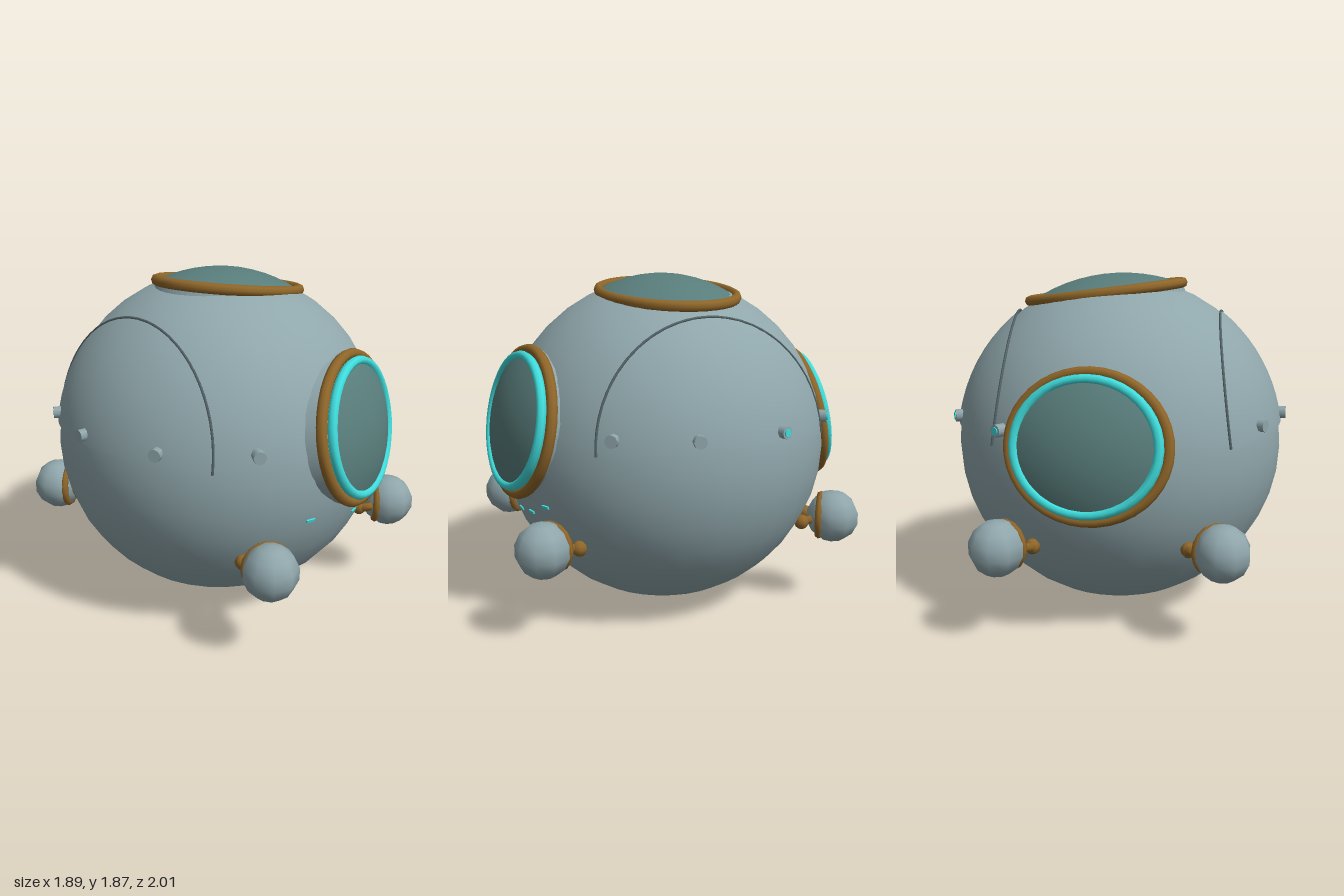
import * as THREE from 'three';

const paint = (name, color) => {
  const m = new THREE.MeshStandardMaterial({ color });
  m.name = name;
  return m;
};

export function createModel() {
  const hull = paint('hullGrey', 0x8fa6ab);
  const brass = paint('brass', 0x8f6629);
  const cyan = paint('cyanTrim', 0x3fdcdc);
  const glass = paint('tealGlass', 0x587d7b);
  const seam = paint('seamDark', 0x566669);
  hull.side = glass.side = THREE.DoubleSide;

  const model = new THREE.Group();
  model.name = 'divingSphere';
  const R = 0.925;
  const centre = new THREE.Vector3(0, R, 0);

  const add = (parent, name, geo, mat, x = 0, y = 0, z = 0) => {
    const mesh = new THREE.Mesh(geo, mat);
    mesh.name = name;
    mesh.position.set(x, y, z);
    parent.add(mesh);
    return mesh;
  };
  // Group whose local +z points along dir
  const facing = (name, pos, dir) => {
    const g = new THREE.Group();
    g.name = name;
    g.position.copy(pos);
    g.lookAt(pos.clone().add(dir));
    model.add(g);
    return g;
  };
  const vec = (x, y, z) => new THREE.Vector3(x, y, z);

  // Shallow dome rising to +z from a rim of radius r
  const dome = (r, h) => {
    const s = (r * r + h * h) / (2 * h);
    const g = new THREE.SphereGeometry(s, 28, 6, 0, Math.PI * 2, 0, Math.asin(r / s));
    return g.rotateX(Math.PI / 2).translate(0, 0, h - s);
  };

  add(model, 'hull', new THREE.SphereGeometry(R, 32, 20), hull, 0, R, 0);

  // Domed windows with brass frames
  const porthole = (name, pos, dir, r, sx, sy, height, trimmed) => {
    const g = facing(name, pos, dir);
    g.scale.set(sx, sy, 1);
    const frameR = trimmed ? r + 0.04 : r + 0.01;
    const frameZ = trimmed ? -0.04 : 0;
    add(g, 'glassDome', dome(r, height), glass);
    add(g, 'frame', new THREE.TorusGeometry(frameR, 0.03, 8, 40), brass, 0, 0, frameZ);
    if (trimmed) add(g, 'trimRing', new THREE.TorusGeometry(r, 0.026, 8, 40), cyan);
    const collar = new THREE.CylinderGeometry(frameR, frameR + 0.03, 0.12, 40, 1, true);
    add(g, 'collar', collar.rotateX(Math.PI / 2), hull, 0, 0, frameZ - 0.06);
  };
  porthole('frontWindow', vec(0.13, 1.105, 0.885), vec(0.18, 0.19, 0.97), 0.378, 1, 0.93, 0.085, true);
  porthole('backWindow', vec(0.11, 1.06, -0.885), vec(0.18, 0.19, -0.97), 0.365, 1, 0.9, 0.085, true);
  porthole('topWindow', vec(0.08, 1.765, 0), vec(0.12, 0.99, 0), 0.425, 0.87, 1, 0.1, false);

  // Half-round side panels, slightly proud of the hull
  const capAngle = 0.77;
  const capR = R + 0.009;
  for (const s of [1, -1]) {
    const g = facing(s > 0 ? 'leftPanel' : 'rightPanel', centre, vec(0.98 * s, 0.14, -0.09));
    const plate = new THREE.SphereGeometry(capR, 24, 10, Math.PI, Math.PI, 0, capAngle);
    add(g, 'plate', plate.rotateX(Math.PI / 2), hull);
    const edge = new THREE.TorusGeometry(capR * Math.sin(capAngle), 0.007, 5, 32, Math.PI);
    add(g, 'seam', edge, seam, 0, 0, capR * Math.cos(capAngle));
  }

  // Bolts around the waist, repeated on opposite sides
  [34, 8, -22, -53].forEach((deg) => {
    for (const turn of [0, 180]) {
      const a = THREE.MathUtils.degToRad(deg + turn);
      const out = vec(Math.cos(a), 0, Math.sin(a));
      const g = facing('bolt', vec(out.x * 0.91, 1.105, out.z * 0.91), out);
      add(g, 'shaft', new THREE.CylinderGeometry(0.034, 0.034, 0.08, 8).rotateX(Math.PI / 2), hull);
      if (deg < -10 && turn === 0) {
        add(g, 'cap', new THREE.CylinderGeometry(0.022, 0.022, 0.008, 8).rotateX(Math.PI / 2), cyan, 0, 0, 0.042);
      }
    }
  });

  // Four lamps on brass yokes
  for (const sx of [1, -1]) {
    for (const sz of [1, -1]) {
      const pos = vec(0.565 * sx, 0.52, 0.83 * sz);
      const g = facing('lamp', pos, vec(0.57 * sx, 0, 0.83 * sz));
      add(g, 'lampBody', new THREE.SphereGeometry(0.147, 9, 7), hull);
      add(g, 'lampBand', new THREE.TorusGeometry(0.115, 0.022, 6, 16), brass, 0, 0, -0.07);
      const yoke = new THREE.CatmullRomCurve3([
        vec(0.4 * sx, 0.5, 0.72 * sz), vec(0.41 * sx, 0.51, 0.79 * sz), vec(0.5 * sx, 0.52, 0.78 * sz),
        vec(0.55 * sx, 0.51, 0.71 * sz), vec(0.54 * sx, 0.5, 0.62 * sz),
      ]);
      add(model, 'lampYoke', new THREE.TubeGeometry(yoke, 12, 0.025, 6), brass);
      for (const [x, z] of [[0.4, 0.74], [0.55, 0.64]]) {
        add(model, 'yokeKnob', new THREE.SphereGeometry(0.042, 8, 6), brass, x * sx, 0.5, z * sz);
      }
    }
  }

  // Small marker lights below the front window
  [[-0.27, 0.7], [0.13, 0.615], [0.28, 0.635], [0.43, 0.7]].forEach(([x, y]) => {
    const dir = vec(x, y - R, Math.sqrt(R * R - x * x - (y - R) ** 2)).normalize();
    const g = facing('markerLight', centre.clone().addScaledVector(dir, R), dir);
    add(g, 'lens', new THREE.BoxGeometry(0.05, 0.015, 0.009), cyan);
  });

  return model;
}
